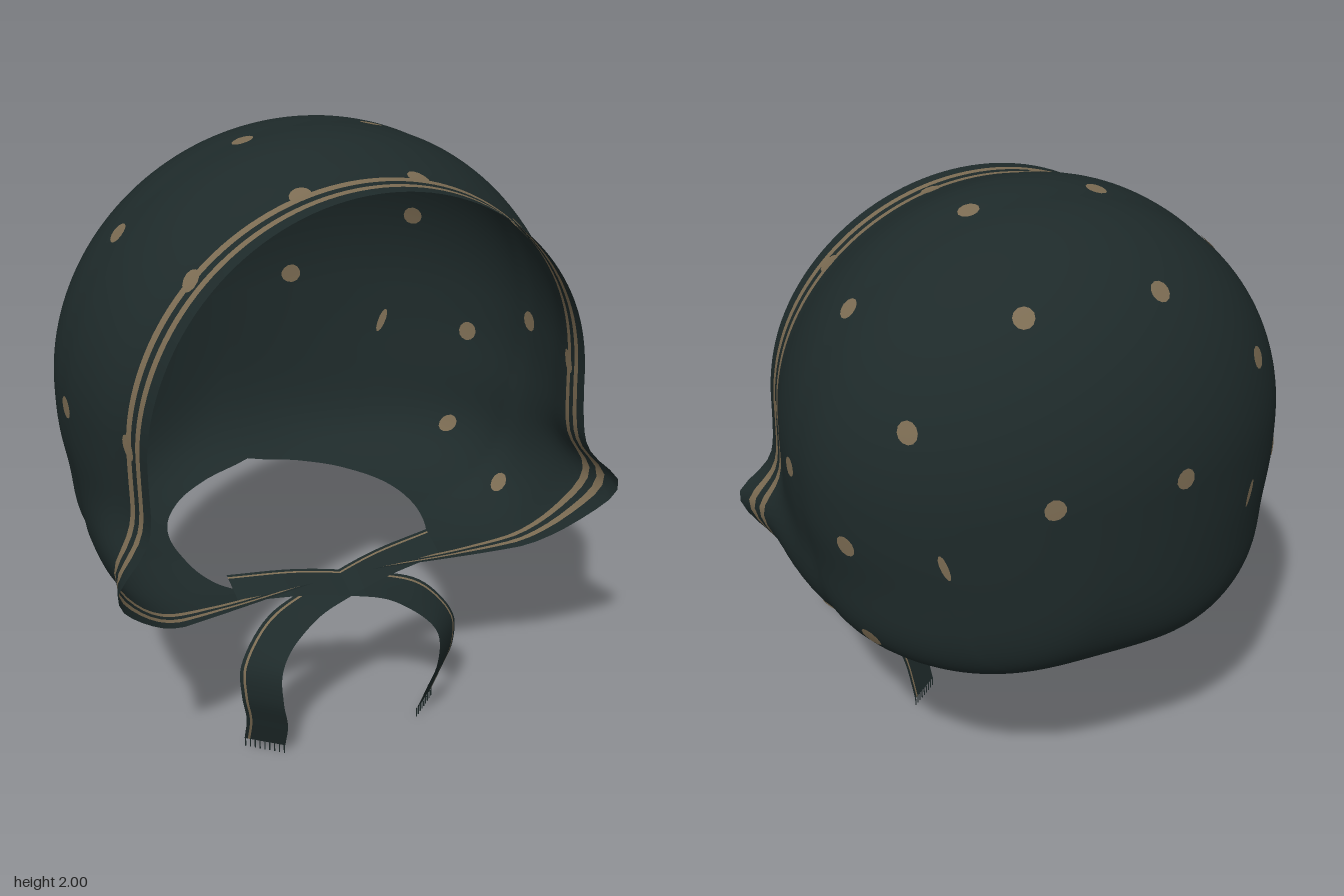
import * as THREE from 'three';

const cloth = new THREE.MeshStandardMaterial({ color: 0x1e2a2a, side: THREE.DoubleSide });
cloth.name = 'dark teal cloth';
const tan = new THREE.MeshStandardMaterial({ color: 0x7c6c53, side: THREE.DoubleSide });
tan.name = 'tan print';

const DEPTH = 0.595, FRONT = 0.52, MID = 1.22;
const V_END = FRONT + DEPTH * Math.PI / 2;

// smooth curve through [x, value] pairs in ascending x, clamped at the ends
function curve(pts) {
  const n = pts.length;
  const slope = i => {
    const a = pts[Math.max(i - 1, 0)], b = pts[Math.min(i + 1, n - 1)];
    return (b[1] - a[1]) / (b[0] - a[0]);
  };
  return x => {
    if (x <= pts[0][0]) return pts[0][1];
    if (x >= pts[n - 1][0]) return pts[n - 1][1];
    let i = 0;
    while (pts[i + 1][0] < x) i++;
    const h = pts[i + 1][0] - pts[i][0], t = (x - pts[i][0]) / h, t2 = t * t, t3 = t2 * t;
    return (2 * t3 - 3 * t2 + 1) * pts[i][1] + (t3 - 2 * t2 + t) * h * slope(i)
      + (3 * t2 - 2 * t3) * pts[i + 1][1] + (t3 - t2) * h * slope(i + 1);
  };
}

// measurements along z for the front half, and the neck opening
const topAt = curve([[0, 1.99], [0.1, 2], [0.2, 1.993], [0.3, 1.963], [0.4, 1.928], [0.52, 1.922]]);
const bottomAt = curve([[0, 0.555], [0.25, 0.553], [0.4, 0.56], [0.52, 0.57]]);
const widthAt = curve([[0, 0.807], [0.1, 0.808], [0.25, 0.785], [0.4, 0.74], [0.52, 0.722]]);
const gapAt = curve([[-0.47, 0], [-0.43, 0.17], [-0.35, 0.31], [-0.2, 0.41], [0, 0.43],
  [0.2, 0.38], [0.35, 0.28], [0.45, 0.17], [0.52, 0.1]]);
// how far the rim leans forward at each height
const rimLean = curve([[0.57, -0.12], [0.62, -0.06], [0.72, 0.015], [0.84, 0.075], [1, 0.045],
  [1.2, 0.02], [1.5, 0.02], [1.92, 0]]);

// point of the hood: f runs -1..1 from hem over the crown to hem, v from rim to back
function hoodPoint(f, v) {
  let z, top, bottom, width;
  if (v < FRONT) {
    z = FRONT - v;
    top = topAt(z); bottom = bottomAt(z); width = widthAt(z);
  } else {
    const phi = Math.min((v - FRONT) / DEPTH, Math.PI / 2), s = Math.sin(phi), c = Math.max(Math.cos(phi), 0);
    z = -DEPTH * s;
    top = MID + 0.77 * c;
    bottom = MID - 0.665 * Math.pow(Math.max(1 - s ** 4.2, 0), 1 / 4.2);
    width = 0.807 * c;
  }
  const front = Math.max(1 - v / FRONT, 0), k = front * front;
  const n = 3.8 + 2.4 * front;
  const g = Math.min(gapAt(z) / Math.max(width, 1e-4), 0.98);
  const theta = f * (Math.PI - Math.atan(g / Math.pow(1 - g ** n, 1 / n)));
  const s = Math.sin(theta), c = Math.cos(theta);
  let x, y;
  if (c >= 0) {
    x = width * s;
    y = MID + (top - MID) * c;
  } else {
    const r = Math.pow(Math.abs(s) ** n + Math.abs(c) ** n, -1 / n);
    x = width * r * s;
    y = MID + (MID - bottom) * r * c;
  }
  // flare beside the jaw at the rim, slight pinch behind it
  const d = (y - 0.85) / (y > 0.85 ? 0.1 : 0.16), p = (y - 0.92) / 0.14;
  x *= 1 - 0.03 * (1 - front) * Math.exp(-p * p);
  x += 0.128 * Math.exp(-d * d) * k * s / Math.max(Math.abs(s), 0.3);
  // chin flaps sweep backwards toward their tips
  const sweep = c < 0 ? 0.08 * Math.min(Math.max((0.6 - Math.abs(x)) / 0.5, 0), 1) * Math.min(1, c * c * 2) : 0;
  z += (rimLean(y) - sweep) * k;
  return new THREE.Vector3(x, y, z);
}

// surface from a grid of points; tanRow(j) picks the rows in the second material
function gridMesh(name, point, us, vs, tanRow) {
  const pos = [], idx = [[], []], w = us.length;
  for (const v of vs) for (const u of us) pos.push(...point(u, v).toArray());
  for (let j = 0; j < vs.length - 1; j++) for (let i = 0; i < w - 1; i++) {
    const a = j * w + i, b = a + w;
    idx[tanRow(j) ? 1 : 0].push(a, b, a + 1, a + 1, b, b + 1);
  }
  const geo = new THREE.BufferGeometry();
  geo.setAttribute('position', new THREE.Float32BufferAttribute(pos, 3));
  geo.setIndex([...idx[0], ...idx[1]]);
  geo.addGroup(0, idx[0].length, 0);
  geo.addGroup(idx[0].length, idx[1].length, 1);
  geo.computeVertexNormals();
  const mesh = new THREE.Mesh(geo, [cloth, tan]);
  mesh.name = name;
  return mesh;
}

const steps = (a, b, n) => Array.from({ length: n + 1 }, (_, i) => a + (b - a) * i / n);

// thin round print following the hood, on both faces, nearest to a target point
function dot(target, radius) {
  let best = Infinity, f0 = 0, v0 = 0;
  for (let f = -1; f <= 1; f += 0.01) for (let v = 0.03; v < V_END - 0.03; v += 0.015) {
    const d = hoodPoint(f, v).distanceToSquared(target);
    if (d < best) { best = d; f0 = f; v0 = v; }
  }
  const e = 0.004;
  const du = (f, v) => hoodPoint(f + e, v).sub(hoodPoint(f - e, v)).divideScalar(2 * e);
  const dv = (f, v) => hoodPoint(f, v + e).sub(hoodPoint(f, v - e)).divideScalar(2 * e);
  const lu = du(f0, v0).length(), lv = dv(f0, v0).length();
  const pos = [], idx = [], N = 12;
  for (const side of [1, -1]) {
    const base = pos.length / 3;
    for (let i = 0; i <= N; i++) {
      const a = i / N * Math.PI * 2, r = i === N ? 0 : radius;
      const f = f0 + r * Math.cos(a) / lu, v = v0 + r * Math.sin(a) / lv;
      const normal = du(f, v).cross(dv(f, v)).normalize();
      pos.push(...hoodPoint(f, v).addScaledVector(normal, 0.004 * side).toArray());
      if (i < N) {
        const p = base + i, q = base + (i + 1) % N;
        idx.push(base + N, side > 0 ? p : q, side > 0 ? q : p);
      }
    }
  }
  const geo = new THREE.BufferGeometry();
  geo.setAttribute('position', new THREE.Float32BufferAttribute(pos, 3));
  geo.setIndex(idx);
  geo.computeVertexNormals();
  const mesh = new THREE.Mesh(geo, tan);
  mesh.name = 'dot';
  return mesh;
}

// ribbon that crosses under the chin and hangs on the side given by m
function strap(m) {
  const group = new THREE.Group();
  group.name = m > 0 ? 'leftStrap' : 'rightStrap';
  const path = new THREE.CatmullRomCurve3([
    [-0.36, 0.58, 0.26], [-0.15, 0.572, 0.3], [0, 0.553, 0.335], [0.15, 0.515, 0.365], [0.26, 0.455, 0.39],
    [0.33, 0.36, 0.42], [0.33, 0.25, 0.425], [0.305, 0.14, 0.4], [0.295, 0.03, 0.355],
  ].map(p => new THREE.Vector3(m * p[0], p[1], p[2])));
  const across = t => {
    const k = THREE.MathUtils.smoothstep(t, 0.3, 0.65);
    return new THREE.Vector3(m * 0.053 * k, 0.022 * (1 - k) + 0.02 * Math.sin(Math.PI * k), -0.05 + 0.004 * k);
  };
  const point = (t, s) => path.getPoint(t).addScaledVector(across(t), s);
  group.add(gridMesh('ribbon', point, steps(0, 1, 48), [-1, 0, 0.72, 0.84, 1], j => j === 2));
  // fringe threads at the end
  for (let i = 0; i < 9; i++) {
    const thread = new THREE.Mesh(new THREE.BoxGeometry(0.003, 0.034, 0.003), cloth);
    thread.name = 'fringe';
    thread.position.copy(point(1, -0.95 + i * 0.2375)).setY(0.017);
    group.add(thread);
  }
  return group;
}

export function createModel() {
  const model = new THREE.Group();
  model.name = 'bonnet';

  // hood with two stripes along the rim
  const rows = [0, 0.022, 0.045, 0.07, 0.095, 0.12, ...steps(0.14, V_END, 64)];
  model.add(gridMesh('hood', hoodPoint, steps(-1, 1, 128), rows, j => j === 2 || j === 4));

  // printed dots, mirrored left and right
  const dots = new THREE.Group();
  dots.name = 'dots';
  const spots = [
    [0.19, 1.92, 0.4], [0.54, 1.71, 0.415], [0.75, 1.23, 0.425],
    [0.21, 1.96, 0.035], [0.61, 1.735, 0.03], [0.8, 1.22, 0.075], [0.68, 0.68, 0.12],
    [0.22, 1.785, -0.36], [0.57, 1.5, -0.35], [0.51, 1.09, -0.43], [0.22, 1.265, -0.57],
    [0.76, 1.09, -0.24], [0.67, 0.74, -0.22],
  ];
  for (const [x, y, z] of spots) for (const m of [1, -1]) {
    dots.add(dot(new THREE.Vector3(m * x, y, z), 0.034));
  }
  model.add(dots);

  model.add(strap(1), strap(-1));
  return model;
}
